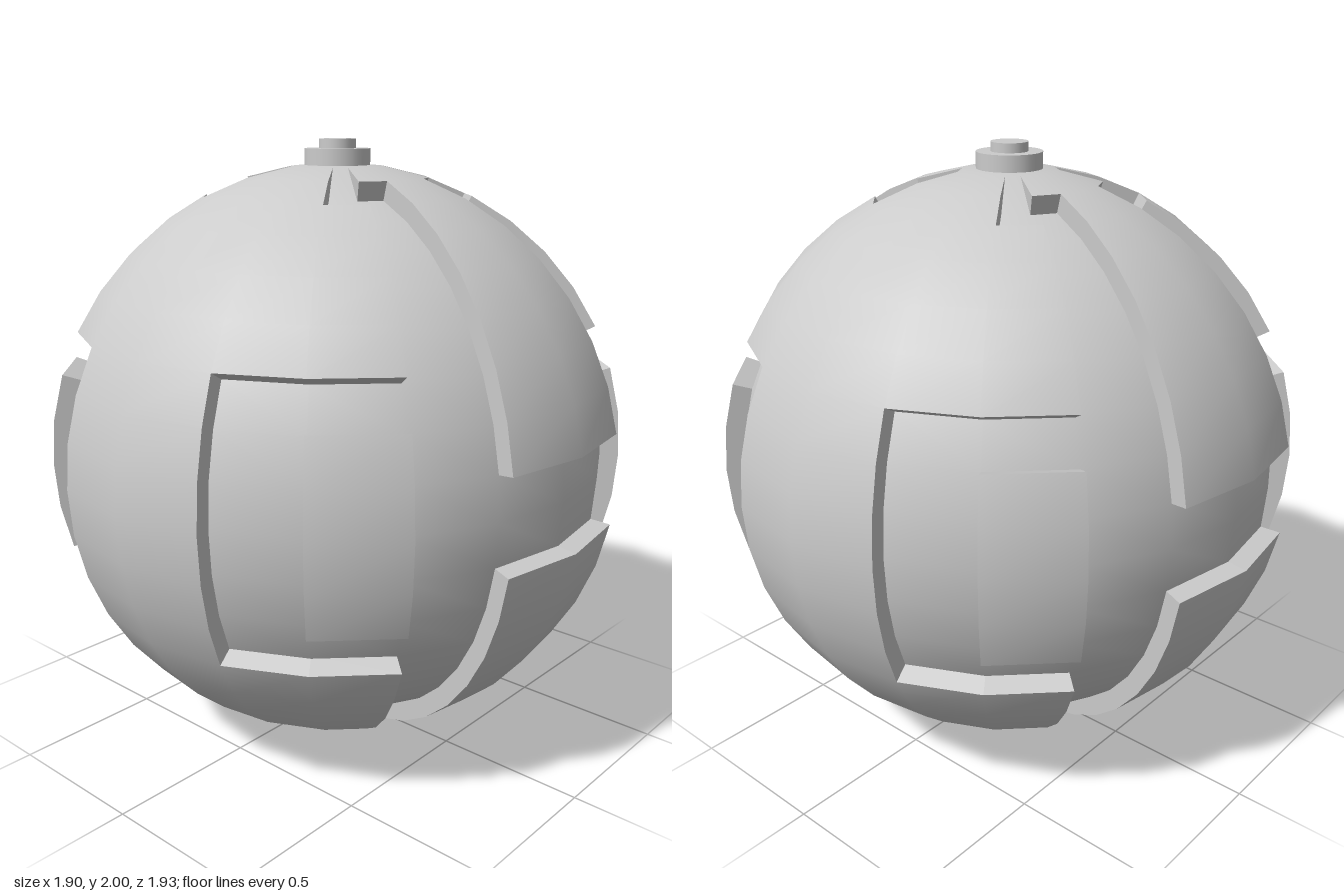
import * as THREE from 'three';

const STEP = Math.PI / 20;        // polar step (9 degrees)
const TURN = Math.PI / 10;        // azimuth step (18 degrees)
const OUTER = 0.963, CORE = 0.9, SUNK = 0.89, CENTRE = 0.963;
const material = new THREE.MeshStandardMaterial({ color: 0xcccccc });

// Point on a sphere grid: i counts turns from +z towards +x, j counts steps down from the pole
function gridPoint(i, j, r) {
  const a = i * TURN, p = j * STEP;
  return new THREE.Vector3(Math.sin(p) * Math.sin(a), Math.cos(p), Math.sin(p) * Math.cos(a)).multiplyScalar(r);
}

// Raised plate covering grid blocks [i0, i1, j0, j1]: smooth outer skin, flat walls on its outline
function plateGeometry(blocks) {
  const has = (i, j) => blocks.some(([i0, i1, j0, j1]) => i >= i0 && i < i1 && j >= j0 && j < j1);
  const positions = [], normals = [];
  const quad = (pts, smooth) => {
    const flat = pts[1].clone().sub(pts[0]).cross(pts[2].clone().sub(pts[0])).normalize();
    for (const k of [0, 1, 2, 0, 2, 3]) {
      positions.push(...pts[k].toArray());
      normals.push(...(smooth ? pts[k].clone().normalize() : flat).toArray());
    }
  };
  for (const [i0, i1, j0, j1] of blocks) {
    for (let i = i0; i < i1; i++) {
      for (let j = j0; j < j1; j++) {
        const corners = [[i, j + 1], [i + 1, j + 1], [i + 1, j], [i, j]];
        const neighbours = [[i, j + 1], [i + 1, j], [i, j - 1], [i - 1, j]];
        quad(corners.map(([a, p]) => gridPoint(a, p, OUTER)), true);
        neighbours.forEach(([ni, nj], k) => {
          if (has(ni, nj)) return;
          const A = corners[k], B = corners[(k + 1) % 4];
          quad([gridPoint(...A, OUTER), gridPoint(...A, SUNK), gridPoint(...B, SUNK), gridPoint(...B, OUTER)], false);
        });
      }
    }
  }
  const geometry = new THREE.BufferGeometry();
  geometry.setAttribute('position', new THREE.Float32BufferAttribute(positions, 3));
  geometry.setAttribute('normal', new THREE.Float32BufferAttribute(normals, 3));
  return geometry;
}

export function createModel() {
  const group = new THREE.Group();
  const add = (name, geometry, y = CENTRE, turn = 0) => {
    const mesh = new THREE.Mesh(geometry, material);
    mesh.name = name;
    mesh.position.y = y;
    mesh.rotation.y = turn * TURN;
    group.add(mesh);
  };

  // Core sphere, swelling to the plate level at both poles
  const core = new THREE.SphereGeometry(CORE, 20, 20);
  const pos = core.attributes.position, v = new THREE.Vector3();
  for (let k = 0; k < pos.count; k++) {
    v.fromBufferAttribute(pos, k);
    if (Math.abs(v.y) > CORE * Math.cos(1.5 * STEP)) v.setLength(OUTER);
    pos.setXYZ(k, v.x, v.y, v.z);
  }
  add('core', core);

  // Front and back plates: narrow waist, broad shoulders, notched ends
  const broad = plateGeometry([[-2, 2, 1, 3], [-3, 3, 3, 7], [-1, 1, 7, 13], [-3, 3, 13, 17], [-2, 2, 17, 19]]);
  add('frontPlate', broad, CENTRE, 0);
  add('backPlate', broad, CENTRE, 10);

  // Side plates: upper and lower strips with a gap at the equator
  const upper = plateGeometry([[-2, 2, 1, 2], [-1, 1, 2, 9]]);
  const lower = plateGeometry([[-1, 1, 11, 18], [-2, 2, 18, 19]]);
  for (const [side, turn] of [['left', 5], ['right', 15]]) {
    add(side + 'UpperPlate', upper, CENTRE, turn);
    add(side + 'LowerPlate', lower, CENTRE, turn);
  }

  // Four small panels on the diagonals
  const panel = plateGeometry([[2, 3, 8, 12]]);
  ['frontLeft', 'backLeft', 'backRight', 'frontRight'].forEach((corner, k) => add(corner + 'Panel', panel, CENTRE, k * 5));

  // Button on top
  add('buttonBase', new THREE.CylinderGeometry(0.107, 0.107, 0.06, 32), 1.94);
  add('button', new THREE.CylinderGeometry(0.06, 0.06, 0.05, 32), 1.975);
  return group;
}
